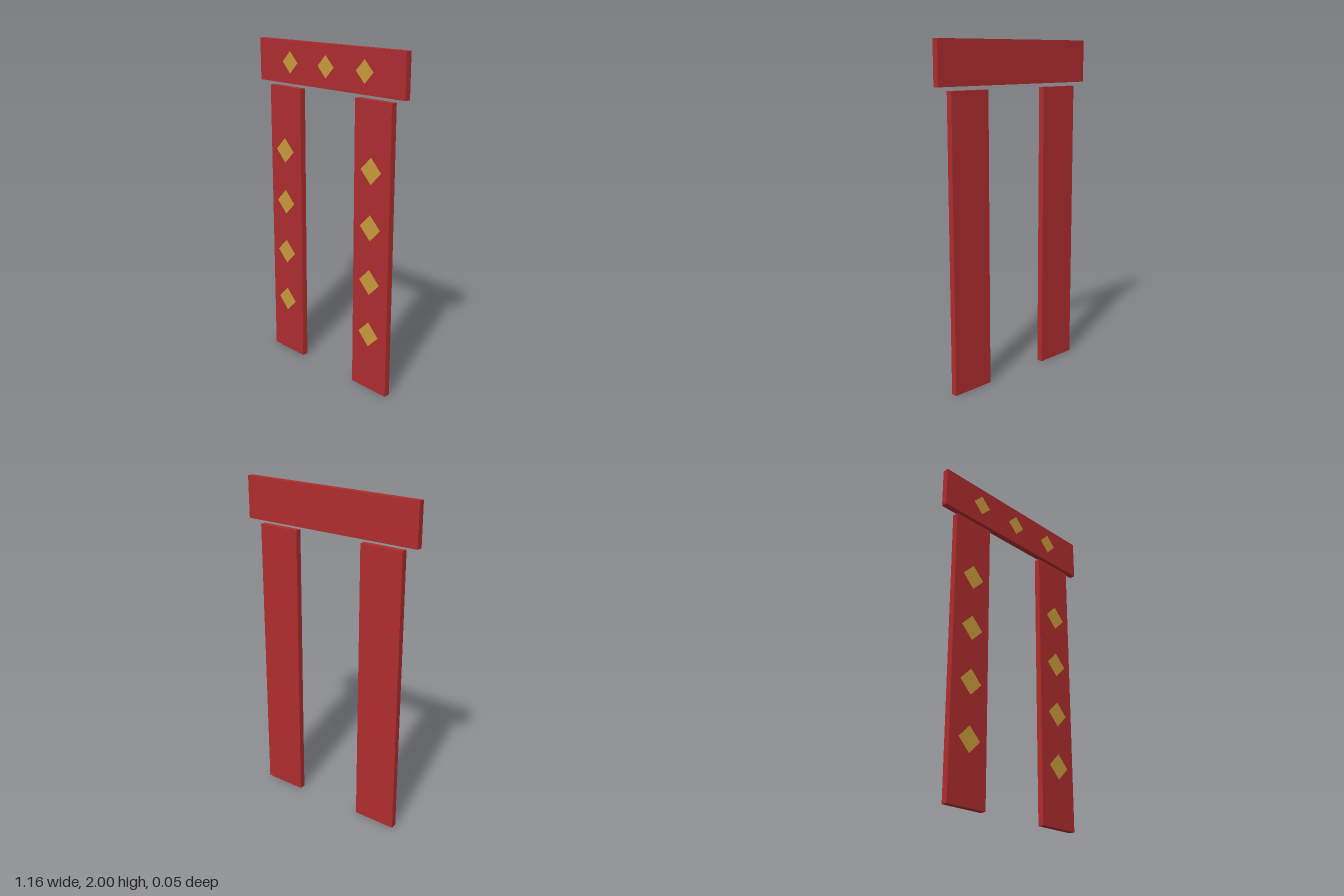
import * as THREE from 'three';

export function createModel() {
  const model = new THREE.Group();
  model.name = 'doorBanner';

  const red = new THREE.MeshStandardMaterial({ color: 0xb02d2f });
  red.name = 'red cloth';
  const gold = new THREE.MeshStandardMaterial({ color: 0xcc9c3c, side: THREE.DoubleSide });
  gold.name = 'gold paper';

  const backZ = -0.023, depth = 0.037, diamondZ = 0.023;

  // Flat board with its lower edge at bottomY
  function board(name, x, bottomY, width, height) {
    const mesh = new THREE.Mesh(new THREE.BoxGeometry(width, height, depth), red);
    mesh.name = name;
    mesh.position.set(x, bottomY + height / 2, backZ + depth / 2);
    model.add(mesh);
  }

  // Square sheet turned on its corner, just in front of the boards
  function diamond(name, x, y, radius) {
    const side = radius * Math.SQRT2;
    const mesh = new THREE.Mesh(new THREE.PlaneGeometry(side, side), gold);
    mesh.name = name;
    mesh.position.set(x, y, diamondZ);
    mesh.rotation.z = Math.PI / 4;
    model.add(mesh);
  }

  // Horizontal board across the top
  board('topBoard', 0, 1.75, 1.16, 0.25);
  for (const x of [-0.3, 0, 0.3]) diamond('topDiamond', x, 1.875, 0.065);

  // Two hanging side boards with four diamonds each
  for (const [side, sign] of [['left', 1], ['right', -1]]) {
    const x = sign * 0.357;
    board(side + 'Board', x, 0, 0.268, 1.727);
    for (let i = 0; i < 4; i++) diamond(side + 'Diamond', x, 0.36 + i * 0.327, 0.077);
  }

  return model;
}
